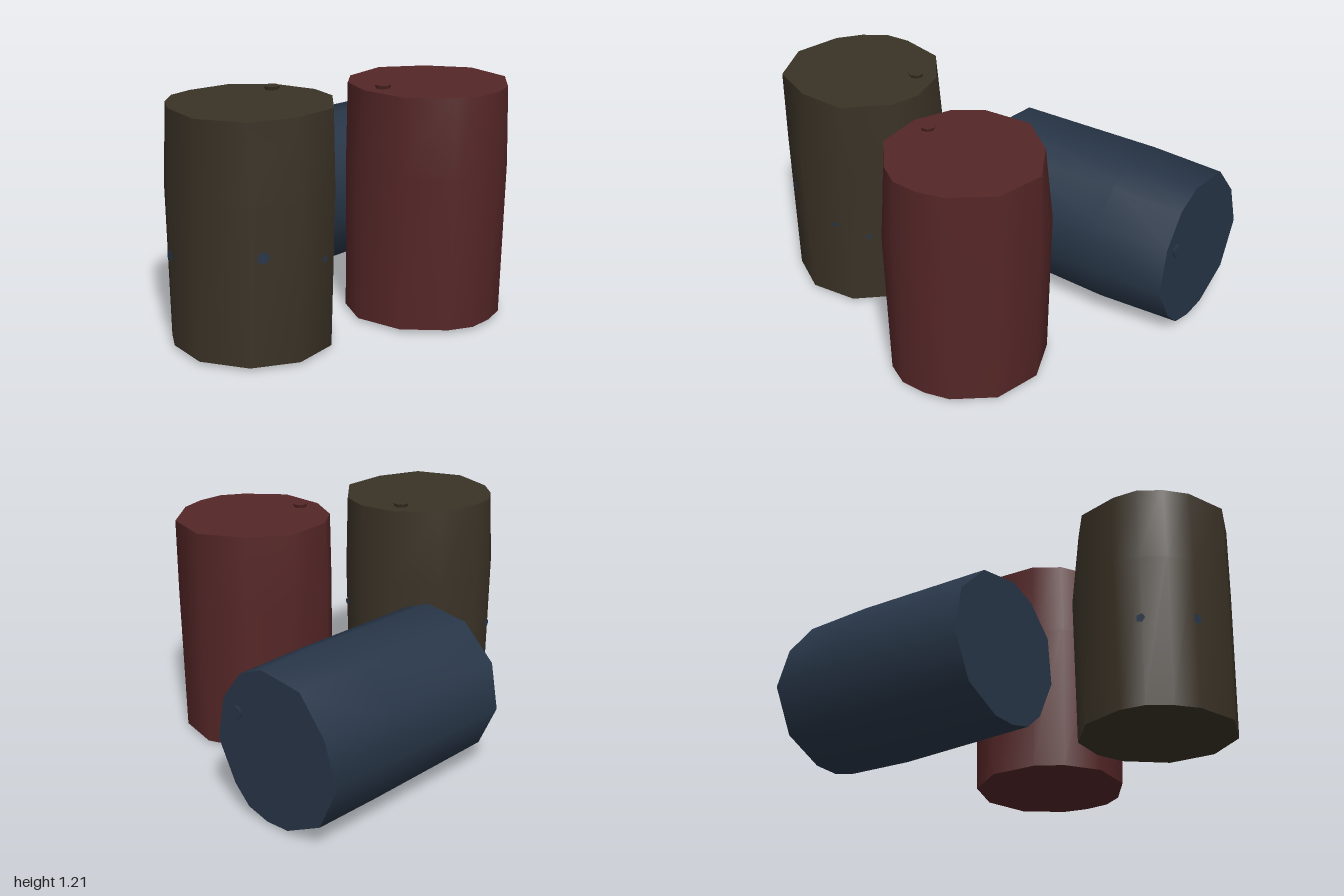
import * as THREE from 'three';

const mat = (name, color) => Object.assign(new THREE.MeshStandardMaterial({ color }), { name });
const rad = THREE.MathUtils.degToRad;

// Uneven, worn barrel section: shared angles and one row of radii per level
const ANGLES = [-144, -109, -90, -71, -51, -17, 19, 54, 90, 127, 150, 180];
const N = ANGLES.length;
const RINGS = [
  { y: -0.59, r: [0.4, 0.4, 0.41, 0.4, 0.4, 0.41, 0.41, 0.41, 0.405, 0.4, 0.4, 0.41] },
  { y: 0.2, r: [0.42, 0.42, 0.425, 0.42, 0.415, 0.42, 0.42, 0.425, 0.42, 0.415, 0.405, 0.425] },
  { y: 0.59, r: [0.395, 0.39, 0.41, 0.405, 0.405, 0.42, 0.42, 0.385, 0.41, 0.405, 0.4, 0.385] },
];
const polar = (deg, r, y) => new THREE.Vector3(r * Math.cos(rad(deg)), y, -r * Math.sin(rad(deg)));
const ringPoints = ({ y, r }) => ANGLES.map((a, i) => polar(a, r[i], y));

function geometryFrom(points, index) {
  const g = new THREE.BufferGeometry().setFromPoints(points);
  g.setIndex(index);
  g.computeVertexNormals();
  return g;
}

// Smooth wall lofted through the rings
function wallGeometry() {
  const index = [];
  for (let k = 0; k < RINGS.length - 1; k++) {
    for (let i = 0; i < N; i++) {
      const a = k * N + i, b = k * N + ((i + 1) % N);
      index.push(a, b, b + N, a, b + N, a + N);
    }
  }
  return geometryFrom(RINGS.flatMap(ringPoints), index);
}

// Flat end as a fan about its centre
function endGeometry(ring, up) {
  const index = [];
  for (let i = 0; i < N; i++) {
    const j = (i + 1) % N;
    index.push(N, up ? i : j, up ? j : i);
  }
  return geometryFrom([...ringPoints(ring), new THREE.Vector3(0, ring.y, 0)], index);
}

function addMesh(parent, name, geometry, material) {
  const mesh = new THREE.Mesh(geometry, material);
  mesh.name = name;
  parent.add(mesh);
  return mesh;
}

function makeBarrel(name, material) {
  const barrel = new THREE.Group();
  barrel.name = name;
  addMesh(barrel, 'barrelWall', wallGeometry(), material);
  addMesh(barrel, 'barrelTop', endGeometry(RINGS[2], true), material);
  addMesh(barrel, 'barrelBottom', endGeometry(RINGS[0], false), material);
  // Small plug near the rim, wider at its lip
  const plug = addMesh(barrel, 'plug', new THREE.CylinderGeometry(0.042, 0.034, 0.022, 7), material);
  plug.position.set(-0.278, 0.597, 0);
  return barrel;
}

// Point and outward direction on the wall at a given angle and height
function wallAt(deg, y) {
  const k = y < RINGS[1].y ? 0 : 1;
  const t = (y - RINGS[k].y) / (RINGS[k + 1].y - RINGS[k].y);
  const pts = ringPoints(RINGS[k]).map((p, i) => p.lerp(ringPoints(RINGS[k + 1])[i], t));
  const a = deg < ANGLES[0] ? deg + 360 : deg;
  let i = ANGLES.findIndex((v) => v > a) - 1;
  if (i < 0) i = N - 1;
  const end = i === N - 1 ? ANGLES[0] + 360 : ANGLES[i + 1];
  const p = pts[i], q = pts[(i + 1) % N];
  const edge = q.clone().sub(p);
  const point = p.clone().lerp(q, (a - ANGLES[i]) / (end - ANGLES[i]));
  return { point, normal: new THREE.Vector3(-edge.z, 0, edge.x).normalize() };
}

export function createModel() {
  const model = new THREE.Group();
  model.name = 'barrels';
  const olive = mat('olive brown paint', 0x3a3226);
  const red = mat('dark red paint', 0x552627);
  const blue = mat('dark blue paint', 0x283648);

  // Two standing barrels
  const redBarrel = makeBarrel('redBarrel', red);
  redBarrel.position.set(0.38, 0.605, 0.54);
  const oliveBarrel = makeBarrel('oliveBarrel', olive);
  oliveBarrel.position.set(-0.585, 0.605, 0.43);
  const turn = -142.5;
  oliveBarrel.rotation.y = rad(turn);

  // Barrel lying on its side
  const blueBarrel = makeBarrel('blueBarrel', blue);
  blueBarrel.position.set(0.32, 0.417, -0.43);
  const axis = new THREE.Vector3(0.965, 0, -0.262).normalize();
  const down = new THREE.Vector3(0, -1, 0);
  const basis = new THREE.Matrix4().makeBasis(axis.clone().cross(down), axis, down);
  blueBarrel.quaternion.setFromRotationMatrix(basis);
  blueBarrel.rotateY(rad(-27));

  // Chips of blue paint on the olive barrel: angle, height, size
  const chips = [[-114, 0.555, 0.032], [-63, 0.48, 0.018], [-14, 0.59, 0.02],
    [-37, 0.42, 0.016], [127, 0.47, 0.025], [167, 0.48, 0.03]];
  for (const [deg, y, size] of chips) {
    let local = deg - turn;
    if (local > 180) local -= 360;
    const { point, normal } = wallAt(local, y - 0.605);
    if (normal.dot(point) < 0) normal.negate();
    const chip = addMesh(oliveBarrel, 'paintChip', new THREE.CircleGeometry(size, 5), blue);
    chip.position.copy(point).addScaledVector(normal, 0.004);
    chip.quaternion.setFromUnitVectors(new THREE.Vector3(0, 0, 1), normal);
  }

  model.add(redBarrel, oliveBarrel, blueBarrel);
  return model;
}
